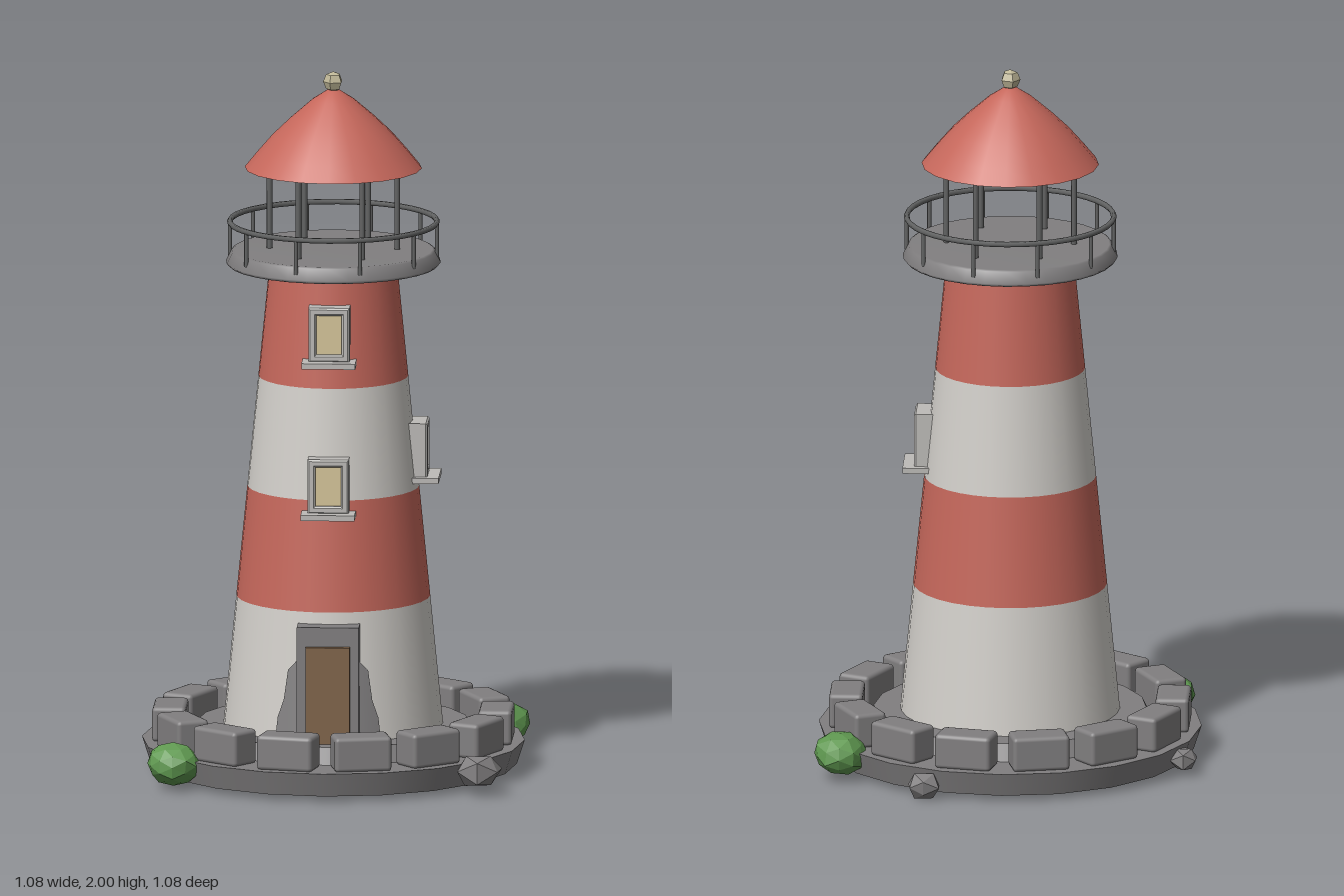
import * as THREE from 'three';
import { RoundedBoxGeometry } from 'three/addons/geometries/RoundedBoxGeometry.js';

const mat = (name, color, extra = {}) => {
  const m = new THREE.MeshStandardMaterial({ color, ...extra });
  m.name = name;
  return m;
};

export function createModel() {
  const root = new THREE.Group();
  root.name = 'lighthouse';
  const white = mat('white plaster', 0xd2cfca);
  const red = mat('red paint', 0xc5675b, { side: THREE.DoubleSide });
  const stone = mat('grey stone', 0x817f80, { side: THREE.DoubleSide });
  const rock = mat('faceted rock', 0x817f80, { flatShading: true });
  const iron = mat('dark iron', 0x636464);
  const trim = mat('pale trim', 0xbdbbb8);
  const glass = mat('warm glass', 0xd6c69a);
  const wood = mat('brown wood', 0x80644a);
  const leaf = mat('green leaves', 0x5f9850, { flatShading: true });
  const cream = mat('cream metal', 0xc0b898, { flatShading: true });

  const add = (name, geo, material, x = 0, y = 0, z = 0, parent = root) => {
    const m = new THREE.Mesh(geo, material);
    m.name = name;
    m.position.set(x, y, z);
    parent.add(m);
    return m;
  };
  // Solid of revolution between two heights
  const drum = (name, rTop, rBottom, y0, y1, material, sides = 20) =>
    add(name, new THREE.CylinderGeometry(rTop, rBottom, y1 - y0, sides), material, 0, (y0 + y1) / 2, 0);
  const towerRadius = y => 0.305 - (y - 0.18) * 0.0985;

  // Foundation and stepped platform
  drum('foundation', 0.54, 0.518, 0.02, 0.088, stone);
  drum('platform', 0.385, 0.412, 0.08, 0.135, stone);

  // Ring of parapet blocks
  const blockGeo = new RoundedBoxGeometry(0.095, 0.1, 0.162, 2, 0.012);
  for (let i = 0; i < 14; i++) {
    const a = (i / 14) * Math.PI * 2;
    add('parapetBlock', blockGeo, stone, Math.cos(a) * 0.46, 0.135, Math.sin(a) * 0.46).rotation.y = -a;
  }

  // Tapering tower in four painted bands
  const levels = [0.12, 0.5, 0.815, 1.13, 1.45];
  for (let i = 0; i < 4; i++) {
    const [a, b] = [levels[i], levels[i + 1]];
    const geo = new THREE.CylinderGeometry(towerRadius(b), towerRadius(a), b - a, 32, 1, true);
    add('towerBand', geo, i % 2 ? red : white, 0, (a + b) / 2, 0);
  }

  // Doorway
  add('doorFrame', new THREE.BoxGeometry(0.175, 0.34, 0.13), stone, 0.002, 0.297, 0.262);
  add('door', new THREE.BoxGeometry(0.125, 0.28, 0.03), wood, 0.002, 0.272, 0.328);

  // Grey stone patches hugging the wall on both sides of the door
  const rows = [[0.36, 0.09], [0.335, 0.113], [0.25, 0.125], [0.2, 0.142], [0.13, 0.15]];
  for (const s of [-1, 1]) {
    const pos = [], idx = [];
    rows.forEach(([y, xOuter], i) => {
      const r = towerRadius(y) + 0.004;
      for (let k = 0; k < 4; k++) {
        const x = s * (0.075 + (xOuter - 0.075) * k / 3);
        pos.push(x, y, Math.sqrt(r * r - x * x));
        if (i && k) {
          const d = i * 4 + k, c = d - 1, b = d - 4, a = d - 5;
          idx.push(...(s > 0 ? [a, c, b, b, c, d] : [a, b, c, b, d, c]));
        }
      }
    });
    const g = new THREE.BufferGeometry();
    g.setAttribute('position', new THREE.Float32BufferAttribute(pos, 3));
    g.setIndex(idx);
    g.computeVertexNormals();
    add('doorSidePatch', g, stone);
  }

  // Windows: hollow frame, recessed pane, projecting sill
  const rect = (Type, w, h) => {
    const p = new Type();
    p.moveTo(-w, -h); p.lineTo(w, -h); p.lineTo(w, h); p.lineTo(-w, h); p.closePath();
    return p;
  };
  const frameShape = rect(THREE.Shape, 0.053, 0.073);
  frameShape.holes.push(rect(THREE.Path, 0.041, 0.061));
  const frameGeo = new THREE.ExtrudeGeometry(frameShape, {
    depth: 0.055, bevelEnabled: true, bevelSize: 0.005, bevelThickness: 0.005, bevelSegments: 1,
  });
  const addWindow = (y, turn) => {
    const w = new THREE.Group();
    w.name = 'window';
    const front = towerRadius(y) + 0.037;
    add('windowFrame', frameGeo, trim, 0, y, front - 0.06, w);
    add('windowPane', new THREE.BoxGeometry(0.084, 0.124, 0.008), glass, 0, y, front - 0.016, w);
    add('windowSill', new THREE.BoxGeometry(0.152, 0.016, 0.09), trim, 0, y - 0.083, front - 0.013, w);
    w.rotation.y = turn;
    root.add(w);
  };
  addWindow(0.86, 0);
  addWindow(1.287, 0);
  addWindow(0.925, Math.PI / 2);

  // Gallery deck
  const deck = [[0, 1.447], [0.295, 1.447], [0.303, 1.456], [0.287, 1.488], [0.28, 1.492], [0, 1.492]];
  add('galleryDeck', new THREE.LatheGeometry(deck.map(p => new THREE.Vector2(...p)), 32), stone);

  // Railing and lantern posts
  const postRing = (name, count, radius, y0, y1, thick) => {
    const g = new THREE.CylinderGeometry(thick, thick, y1 - y0, 8);
    for (let i = 0; i < count; i++) {
      const a = (i / count) * Math.PI * 2;
      add(name, g, iron, Math.cos(a) * radius, (y0 + y1) / 2, Math.sin(a) * radius);
    }
  };
  postRing('railingPost', 10, 0.292, 1.47, 1.57, 0.006);
  postRing('lanternPost', 6, 0.18, 1.485, 1.73, 0.008);
  add('handrail', new THREE.TorusGeometry(0.292, 0.008, 6, 40), iron, 0, 1.57, 0).rotation.x = Math.PI / 2;

  // Roof, ceiling and finial
  drum('lanternCeiling', 0.21, 0.21, 1.722, 1.734, stone);
  const roof = [[0.25, 1.725], [0.215, 1.768], [0.17, 1.82], [0.12, 1.868], [0.06, 1.92], [0.02, 1.946], [0, 1.95]];
  add('roof', new THREE.LatheGeometry(roof.map(p => new THREE.Vector2(...p)), 20), red);
  add('finial', new THREE.SphereGeometry(0.029, 5, 4), cream, 0, 1.971, 0);

  // Irregular lumps for shrubs and rocks; equal corners move together
  const lump = (name, material, detail, rough, seed, [x, y, z], [sx, sy, sz]) => {
    const g = new THREE.IcosahedronGeometry(1, detail);
    const p = g.attributes.position, v = new THREE.Vector3();
    for (let i = 0; i < p.count; i++) {
      v.fromBufferAttribute(p, i);
      const n = Math.sin(Math.round(v.x * 100) * 1.3 + Math.round(v.y * 100) * 2.1 + Math.round(v.z * 100) * 0.7 + seed);
      v.multiplyScalar(1 + rough * n);
      p.setXYZ(i, v.x * sx, v.y * sy, v.z * sz);
    }
    g.computeVertexNormals();
    add(name, g, material, x, y, z);
  };
  lump('shrub', leaf, 1, 0.06, 1, [0.465, 0.077, -0.3], [0.077, 0.06, 0.082]);
  lump('shrub', leaf, 1, 0.06, 4, [-0.432, 0.077, 0.348], [0.075, 0.06, 0.075]);
  lump('rock', rock, 0, 0.16, 2, [0.43, 0.075, 0.39], [0.077, 0.056, 0.062]);
  lump('rock', rock, 0, 0.16, 5, [0.22, 0.04, -0.5], [0.045, 0.038, 0.04]);
  lump('rock', rock, 0, 0.16, 8, [-0.5, 0.05, -0.215], [0.047, 0.038, 0.048]);

  return root;
}
